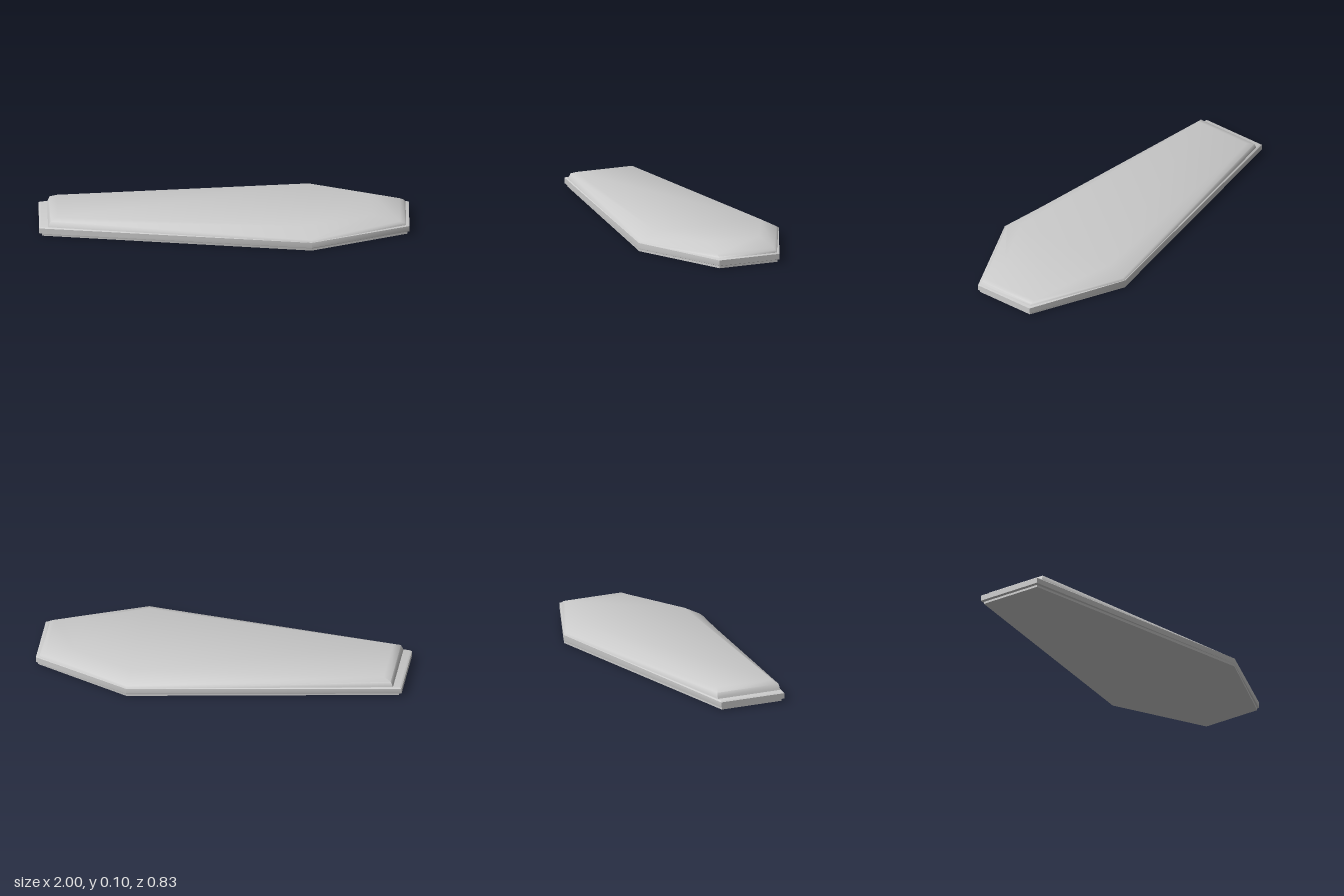
import * as THREE from 'three';
import { toCreasedNormals } from 'three/addons/utils/BufferGeometryUtils.js';

// Six-cornered ring: foot x / half width, shoulder x / half width, head x / half width, heights
function ring(fx, fz, sx, sz, hx, hz, yFoot, yShoulder = yFoot, yHead = yFoot) {
  return [
    [fx, yFoot, fz], [sx, yShoulder, sz], [hx, yHead, hz],
    [hx, yHead, -hz], [sx, yShoulder, -sz], [fx, yFoot, -fz],
  ];
}

// Skins a stack of rings (bottom to top) and closes both ends
function loft(rings) {
  const n = 6, pos = rings.flat(2), index = [];
  for (let r = 0; r < rings.length - 1; r++) {
    for (let i = 0; i < n; i++) {
      const a = r * n + i, b = r * n + (i + 1) % n;
      index.push(a, b, b + n, a, b + n, a + n);
    }
  }
  const top = (rings.length - 1) * n;
  // each cap is three strips running across the width
  for (const [a, b, c, d] of [[0, 1, 4, 5], [1, 2, 3, 4]]) {
    index.push(top + a, top + b, top + c, top + a, top + c, top + d);
    index.push(a, c, b, a, d, c);
  }
  const g = new THREE.BufferGeometry();
  g.setAttribute('position', new THREE.Float32BufferAttribute(pos, 3));
  g.setIndex(index);
  g.computeVertexNormals();
  return g;
}

export function createModel() {
  const group = new THREE.Group();
  const material = new THREE.MeshStandardMaterial({ color: 0xcccccc });
  const add = (name, geometry) => {
    const mesh = new THREE.Mesh(geometry, material);
    mesh.name = name;
    group.add(mesh);
  };

  // Shallow tray with a narrow foot moulding
  add('base', toCreasedNormals(loft([
    ring(-0.985, 0.18, 0.47, 0.413, 0.99, 0.172, 0),
    ring(-0.985, 0.18, 0.47, 0.413, 0.99, 0.172, 0.012),
    ring(-1, 0.19, 0.47, 0.415, 1, 0.178, 0.016),
    ring(-1, 0.19, 0.47, 0.415, 1, 0.178, 0.046),
    ring(-0.99, 0.186, 0.47, 0.413, 0.99, 0.174, 0.052, 0.047, 0.05),
  ]), 0.6));

  // Domed lid with sloping sides, lower at the head end
  add('lid', toCreasedNormals(loft([
    ring(-0.955, 0.188, 0.47, 0.413, 0.985, 0.172, 0.046),
    ring(-0.95, 0.187, 0.47, 0.412, 0.975, 0.17, 0.06, 0.048, 0.06),
    ring(-0.94, 0.184, 0.47, 0.4, 0.95, 0.168, 0.083, 0.055, 0.07),
    ring(-0.9, 0.165, 0.46, 0.31, 0.8, 0.15, 0.099, 0.101, 0.101),
  ]), 1.0));

  return group;
}
